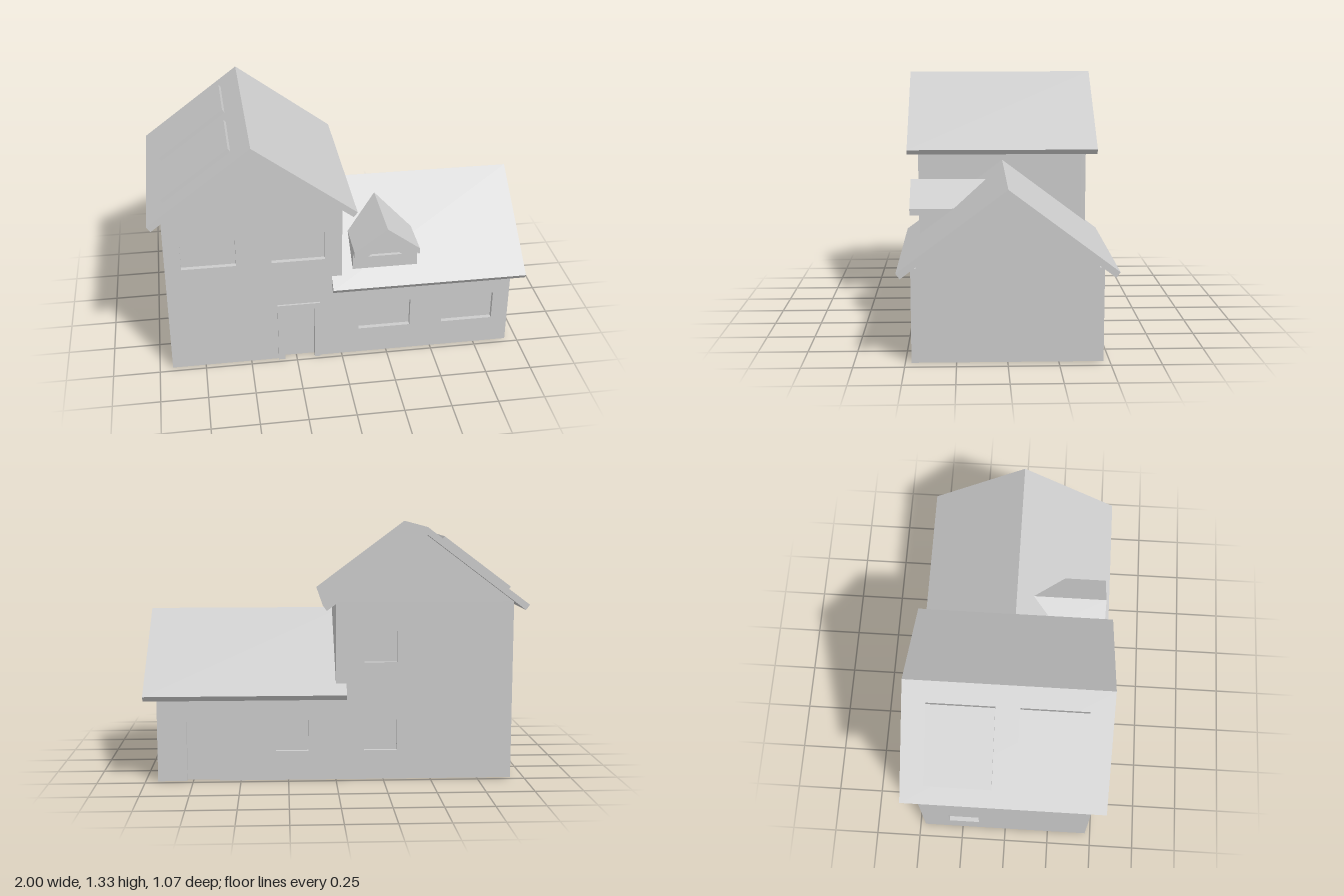
import * as THREE from 'three';

const SLOPE = 0.748, T = 0.025, DEPTH = 0.47;
const material = new THREE.MeshStandardMaterial({ color: 0xcccccc });

const shapeOf = (pts) => new THREE.Shape(pts.map(([x, y]) => new THREE.Vector2(x, y)));
const rect = (x0, x1, y0, y1) => [[x0, y0], [x1, y0], [x1, y1], [x0, y1]];

// Extrudes an outline with optional holes from z0 to z1
function slab(name, outline, z0, z1, holes = []) {
  const shape = shapeOf(outline);
  holes.forEach((h) => shape.holes.push(shapeOf(h)));
  const geometry = new THREE.ExtrudeGeometry(shape, { depth: z1 - z0, bevelEnabled: false });
  geometry.translate(0, 0, z0);
  const mesh = new THREE.Mesh(geometry, material);
  mesh.name = name;
  return mesh;
}

// Wall outline, with an optional doorway cut up from the bottom edge
function wallOutline(x0, x1, eave, peak, door) {
  const pts = [[x0, 0]];
  if (door) pts.push([door[0], 0], [door[0], door[2]], [door[1], door[2]], [door[1], 0]);
  pts.push([x1, 0], [x1, eave]);
  if (peak) pts.push([(x0 + x1) / 2, peak]);
  pts.push([x0, eave]);
  return pts;
}

// Two sloping roof planes with edges cut square to the slope
function roofOutline(cx, ridge, half) {
  const drop = half * SLOPE;
  return [
    [cx, ridge], [cx - half, ridge - drop], [cx - half + 0.02, ridge - drop - 0.027],
    [cx, ridge - 0.04], [cx + half - 0.02, ridge - drop - 0.027], [cx + half, ridge - drop],
  ];
}

function tallWing() {
  const g = new THREE.Group();
  g.name = 'tallWing';
  const cx = -0.465, peak = 1.29;
  const eave = peak - 0.465 * SLOPE;
  // Inner core: its faces are the recessed panes and doors
  g.add(slab('tallCore', wallOutline(-0.93 + T, 0, eave, peak - 0.02), -DEPTH + T, DEPTH - T));
  g.add(slab('tallFrontWall', wallOutline(-0.93, 0, eave, peak, [-0.315, -0.15, 0.32]), DEPTH - T, DEPTH,
    [rect(-0.845, -0.56, 0.625, 0.79), rect(-0.375, -0.09, 0.625, 0.79)]));
  g.add(slab('tallBackWall', wallOutline(-0.93, 0, eave, peak), -DEPTH, -DEPTH + T,
    [rect(-0.322, -0.148, 0.625, 0.79), rect(-0.322, -0.148, 0.155, 0.32)]));

  // Side wall, drawn flat and turned to face -x
  const side = slab('tallSideWall', rect(-DEPTH + T, DEPTH - T, 0, eave), 0, T, [rect(-0.32, -0.15, 0.155, 0.32)]);
  side.rotation.y = -Math.PI / 2;
  side.position.x = -0.93 + T;
  g.add(side);

  g.add(slab('tallRoof', roofOutline(cx, 1.33, 0.535), -0.53, 0.53));

  // Raised panels lying on the -x slope
  const surface = (x) => 1.33 + (x - cx) * SLOPE;
  const panel = [
    [-0.91, surface(-0.91) - 0.004], [-0.556, surface(-0.556) - 0.004],
    [-0.57, surface(-0.556) + 0.016], [-0.924, surface(-0.91) + 0.016],
  ];
  for (const s of [-1, 1]) {
    g.add(slab('roofPanel', panel, s * 0.235 - 0.173, s * 0.235 + 0.173));
  }

  // Door surround standing proud of the front wall
  g.add(slab('doorFrame', wallOutline(-0.35, -0.12, 0.355, 0, [-0.315, -0.15, 0.32]), DEPTH, DEPTH + 0.011));
  return g;
}

function lowWing() {
  const g = new THREE.Group();
  g.name = 'lowWing';
  const peak = 0.823, width = 0.935, half = DEPTH - T;
  const eave = peak - DEPTH * SLOPE;
  // Core and roof are drawn across the wing, then turned to run along x
  const core = slab('lowCore', wallOutline(-half, half, peak - half * SLOPE, peak), 0, width);
  const roof = slab('lowRoof', roofOutline(0, 0.865, 0.537), -0.055, 1);
  for (const m of [core, roof]) {
    m.rotation.y = Math.PI / 2;
    g.add(m);
  }
  g.add(slab('lowFrontWall', wallOutline(0, width, eave), DEPTH - T, DEPTH,
    [rect(0.095, 0.38, 0.155, 0.32), rect(0.56, 0.845, 0.155, 0.32)]));
  g.add(slab('lowBackWall', wallOutline(0, width, eave, 0, [0.612, 0.782, 0.32]), -DEPTH, -DEPTH + T,
    [rect(0.145, 0.315, 0.155, 0.32)]));
  return g;
}

function dormer() {
  const g = new THREE.Group();
  g.name = 'dormer';
  const x0 = 0.062, x1 = 0.412, cx = 0.237, front = 0.445;
  const body = [[x0, 0.53], [x1, 0.53], [x1, 0.63], [cx, 0.763], [x0, 0.63]];
  g.add(slab('dormerBody', body, 0.12, front - 0.02));
  g.add(slab('dormerFront', body, front - 0.02, front,
    [[[cx - 0.092, 0.603], [cx + 0.092, 0.603], [cx, 0.674]]]));
  g.add(slab('dormerRoof',
    [[cx, 0.795], [x0, 0.665], [x0, 0.63], [cx, 0.763], [x1, 0.63], [x1, 0.665]], 0.094, 0.5));
  return g;
}

export function createModel() {
  const model = new THREE.Group();
  model.name = 'house';
  model.add(tallWing(), lowWing(), dormer());
  return model;
}
